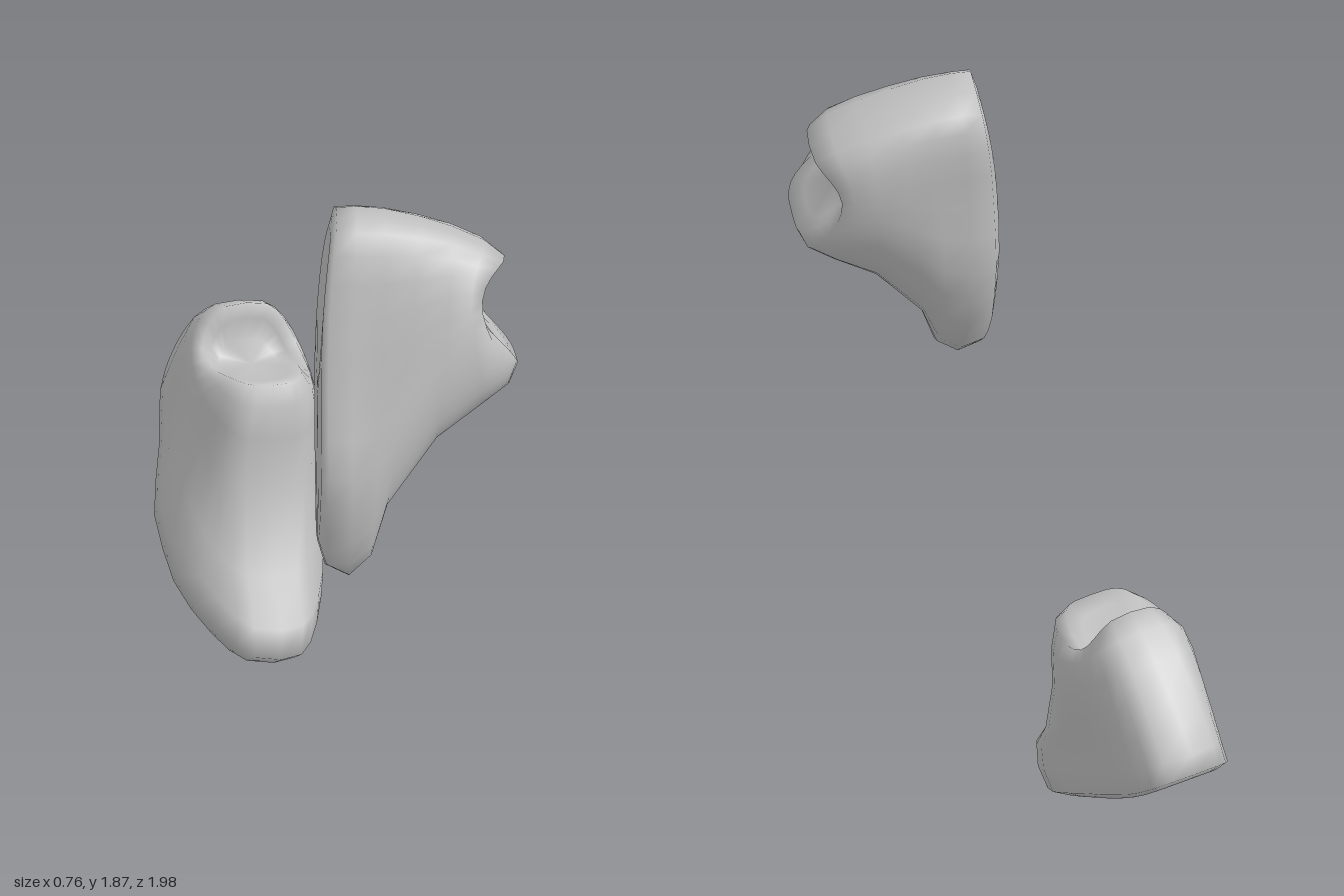
import * as THREE from 'three';

const SEG = 28;
// Half-widths of the sole from toe to heel, on the outer and the inner side
const OUTER = [0.19, 0.25, 0.24, 0.18, 0.18];
const INNER = [0.155, 0.2, 0.16, 0.16, 0.21];

// Rings: toe position, toe height, heel position, heel height, fixed half-width, blend to it, side dip
const RINGS = [
  [-0.07, -0.02, -0.97, -0.012, 0.1, 0.4, 0.03], // underside
  [0.0, 0.004, -1.03, 0.004, 0, 0, 0.03], // sole edge
  [0.03, 0.07, -1.035, 0.06, 0, 0, 0.01],
  [-0.03, 0.13, -1.03, 0.14, 0.19, 0.15, 0],
  [-0.18, 0.17, -1.01, 0.24, 0.185, 0.6, 0],
  [-0.38, 0.305, -0.982, 0.335, 0.18, 1, 0.01],
  [-0.48, 0.43, -0.945, 0.425, 0.172, 1, 0.07],
  [-0.54, 0.505, -0.9, 0.485, 0.15, 1, 0.125], // collar
  [-0.6, 0.53, -0.865, 0.46, 0.122, 1, 0.15], // tongue
  [-0.64, 0.49, -0.83, 0.4, 0.09, 1, 0.08], // inside
];

function sample(table, t) {
  const k = Math.min(Math.floor(t * 4), 3);
  return THREE.MathUtils.lerp(table[k], table[k + 1], t * 4 - k);
}

// One ring as points with x across, y up from the sole and z toward the toe
function ringPoints([toe, toeH, heel, heelH, fixed, blend, dip], mirror) {
  const points = [];
  for (let i = 0; i < SEG; i++) {
    const a = (i / SEG) * Math.PI * 2;
    const t = (1 - Math.cos(a)) / 2;
    const sin = Math.sin(a);
    const base = sample(sin > 0 ? INNER : OUTER, t);
    const half = THREE.MathUtils.lerp(base, fixed, blend) * Math.pow(Math.abs(sin), 0.6);
    points.push([
      mirror * Math.sign(sin) * half,
      THREE.MathUtils.lerp(toeH, heelH, t) - dip * t * sin * sin,
      THREE.MathUtils.lerp(toe, heel, t),
    ]);
  }
  return points;
}

function makeShoe(name, origin, toeDir, upDir, mirror, material) {
  const f = new THREE.Vector3(...toeDir).normalize();
  const s = new THREE.Vector3(...upDir).cross(f).normalize();
  const u = f.clone().cross(s);
  const matrix = new THREE.Matrix4().makeBasis(s, u, f).setPosition(...origin);

  // Walls from the underside up to the collar and down into the opening
  const points = RINGS.flatMap((ring) => ringPoints(ring, mirror));
  const faces = [];
  for (let k = 0; k < RINGS.length - 1; k++) {
    for (let i = 0; i < SEG; i++) {
      const a = k * SEG + i;
      const b = k * SEG + ((i + 1) % SEG);
      faces.push([a, b, b + SEG], [a, b + SEG, a + SEG]);
    }
  }

  // Middle of the sole and of the shallow foot bed
  const last = (RINGS.length - 1) * SEG;
  const sole = points.push([0, -0.032, -0.5]) - 1;
  const bed = points.push([0, 0.4, -0.75]) - 1;
  for (let i = 0; i < SEG; i++) {
    const j = (i + 1) % SEG;
    faces.push([sole, j, i], [bed, last + i, last + j]);
  }

  const geometry = new THREE.BufferGeometry();
  geometry.setAttribute('position', new THREE.Float32BufferAttribute(points.flat(), 3));
  geometry.setIndex(faces.flatMap(([a, b, c]) => (mirror > 0 ? [a, b, c] : [a, c, b])));
  geometry.applyMatrix4(matrix);
  geometry.computeVertexNormals();
  const shoe = new THREE.Mesh(geometry, material);
  shoe.name = name;
  return shoe;
}

export function createModel() {
  const grey = new THREE.MeshStandardMaterial({ color: 0xc0c0c0 });
  grey.name = 'light grey';
  const model = new THREE.Group();
  model.name = 'pairOfShoes';
  model.add(
    makeShoe('lowerShoe', [0.032, -0.002, -0.15], [-0.228, -0.527, 0.822], [-0.04, 0.841, 0.539], 1, grey),
    makeShoe('upperShoe', [-0.342, 0.866, 0.795], [-0.165, -0.957, 0.23], [0.89, -0.045, 0.45], -1, grey)
  );
  return model;
}
